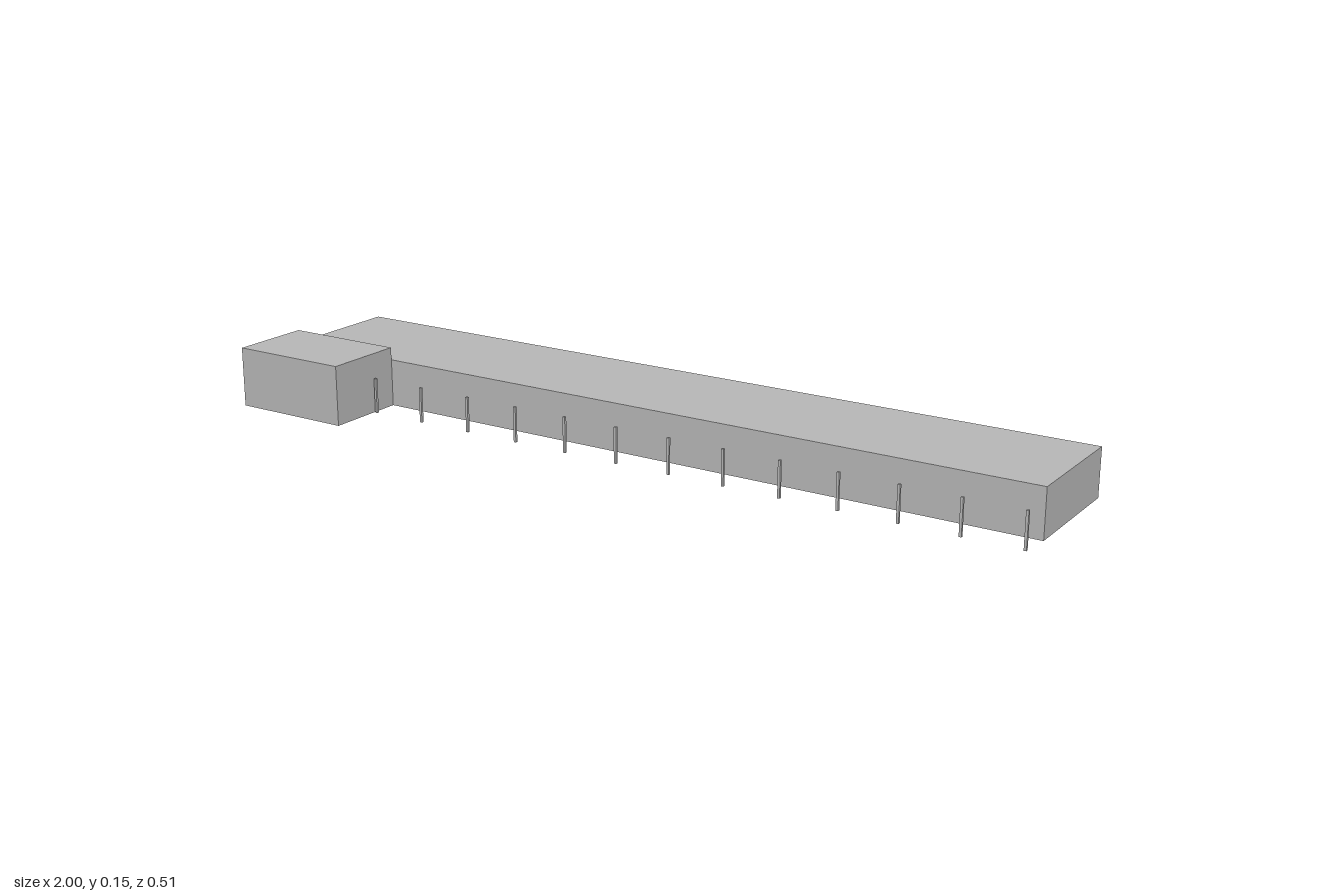
import * as THREE from 'three';

export function createModel() {
  const group = new THREE.Group();
  const grey = new THREE.MeshStandardMaterial({ color: 0xb8b8b8 });
  grey.name = 'plain grey';

  // Box given by its extents, standing on the ground
  function block(name, x0, x1, height, z0, z1) {
    const mesh = new THREE.Mesh(new THREE.BoxGeometry(x1 - x0, height, z1 - z0), grey);
    mesh.position.set((x0 + x1) / 2, height / 2, (z0 + z1) / 2);
    mesh.name = name;
    group.add(mesh);
  }

  // Long hall and the taller wing at its front right corner
  block('mainHall', -1, 1, 0.116, -0.253, 0.052);
  block('cornerWing', -1, -0.697, 0.147, 0.052, 0.253);

  // Row of slim posts along the front, running on into the wing
  const half = 0.003;
  for (let i = 0; i < 15; i++) {
    const x = -0.97 + i * 0.14;
    block('post' + (i + 1), x - half, x + half, 0.086, 0.121 - half, 0.121 + half);
  }
  return group;
}
